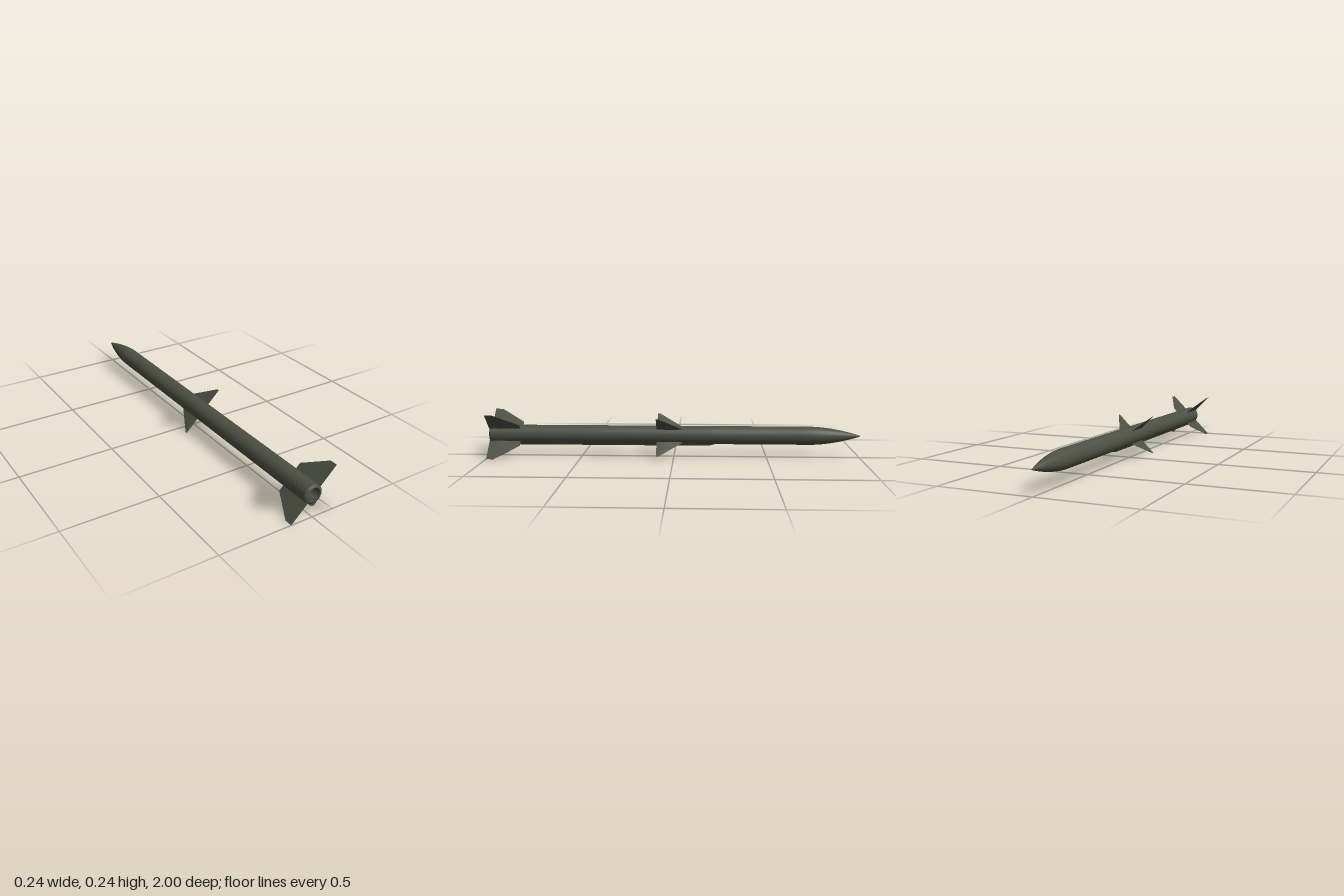
import * as THREE from 'three';
import { ConvexGeometry } from 'three/addons/geometries/ConvexGeometry.js';

const AXIS_Y = 0.119;
const R = 0.049;
const material = new THREE.MeshStandardMaterial({ color: 0x4c4f43 });

function addMesh(parent, name, geometry) {
  const mesh = new THREE.Mesh(geometry, material);
  mesh.name = name;
  parent.add(mesh);
  return mesh;
}

// Surface of revolution along z; points are [radius, z], running from tail to nose.
function turned(points, sides = 48) {
  const profile = points.map(([r, z]) => new THREE.Vector2(r, -z));
  return new THREE.LatheGeometry(profile, sides).rotateX(-Math.PI / 2);
}

// Thin blade lying in the xz plane; outline corners are [radius, z, half thickness].
function blade(corners) {
  const points = [];
  for (const [r, z, t] of corners) {
    points.push(new THREE.Vector3(r, t, z), new THREE.Vector3(r, -t, z));
  }
  return new ConvexGeometry(points);
}

export function createModel() {
  const model = new THREE.Group();
  const missile = new THREE.Group();
  missile.name = 'airframe';
  missile.position.y = AXIS_Y;
  model.add(missile);

  // Tube and ogive nose
  const ogive = [];
  for (let i = 0; i <= 16; i++) {
    const t = i / 16;
    ogive.push([0.003 + (R - 0.003) * (1 - Math.pow(t, 1.8)), -0.73 - 0.268 * t]);
  }
  addMesh(missile, 'body', turned([[R, 0.99], [R, 0.4], [R, -0.2], [R, -0.7], ...ogive, [0, -1]]));

  // Tail rim and recessed nozzle
  addMesh(missile, 'tailRim', turned([[0.036, 1], [0.046, 0.998], [R, 0.99]]));
  addMesh(missile, 'nozzleWall', turned([[0.024, 0.94], [0.036, 1]]));
  addMesh(missile, 'nozzleFloor', turned([[0, 0.94], [0.024, 0.94]]));

  // Cable conduit along the belly, with a rounded front end
  const conduit = addMesh(missile, 'conduit', turned([
    [0, 0.998], [0.021, 0.998], [0.021, 0.997], [0.021, -0.17],
    [0.019, -0.195], [0.013, -0.22], [0, -0.235],
  ], 24));
  conduit.position.y = -0.038;

  // Cross-shaped wings and tail fins, each fin with hinge bolts at its root
  const wing = blade([
    [0.04, -0.065, 0.0002], [0.04, 0.03, 0.002], [0.04, 0.092, 0.0005],
    [0.142, 0.08, 0.0003], [0.142, 0.092, 0.0003],
  ]);
  const fin = blade([
    [0.04, 0.83, 0.0002], [0.08, 0.83, 0.0002], [0.04, 0.93, 0.002],
    [0.04, 1, 0.0005], [0.167, 0.96, 0.0003], [0.167, 1, 0.0003],
  ]);
  const bolt = new THREE.SphereGeometry(0.004, 12, 8);
  for (let k = 0; k < 4; k++) {
    const arm = new THREE.Group();
    arm.name = 'finSet' + (k + 1);
    arm.rotation.z = Math.PI / 4 + k * Math.PI / 2;
    addMesh(arm, 'wing', wing);
    addMesh(arm, 'tailFin', fin);
    for (const side of [-1, 1]) {
      for (const z of [0.915, 0.935]) {
        const a = side * 0.14;
        addMesh(arm, 'hingeBolt', bolt).position.set(R * Math.cos(a), R * Math.sin(a), z);
      }
    }
    missile.add(arm);
  }
  return model;
}
